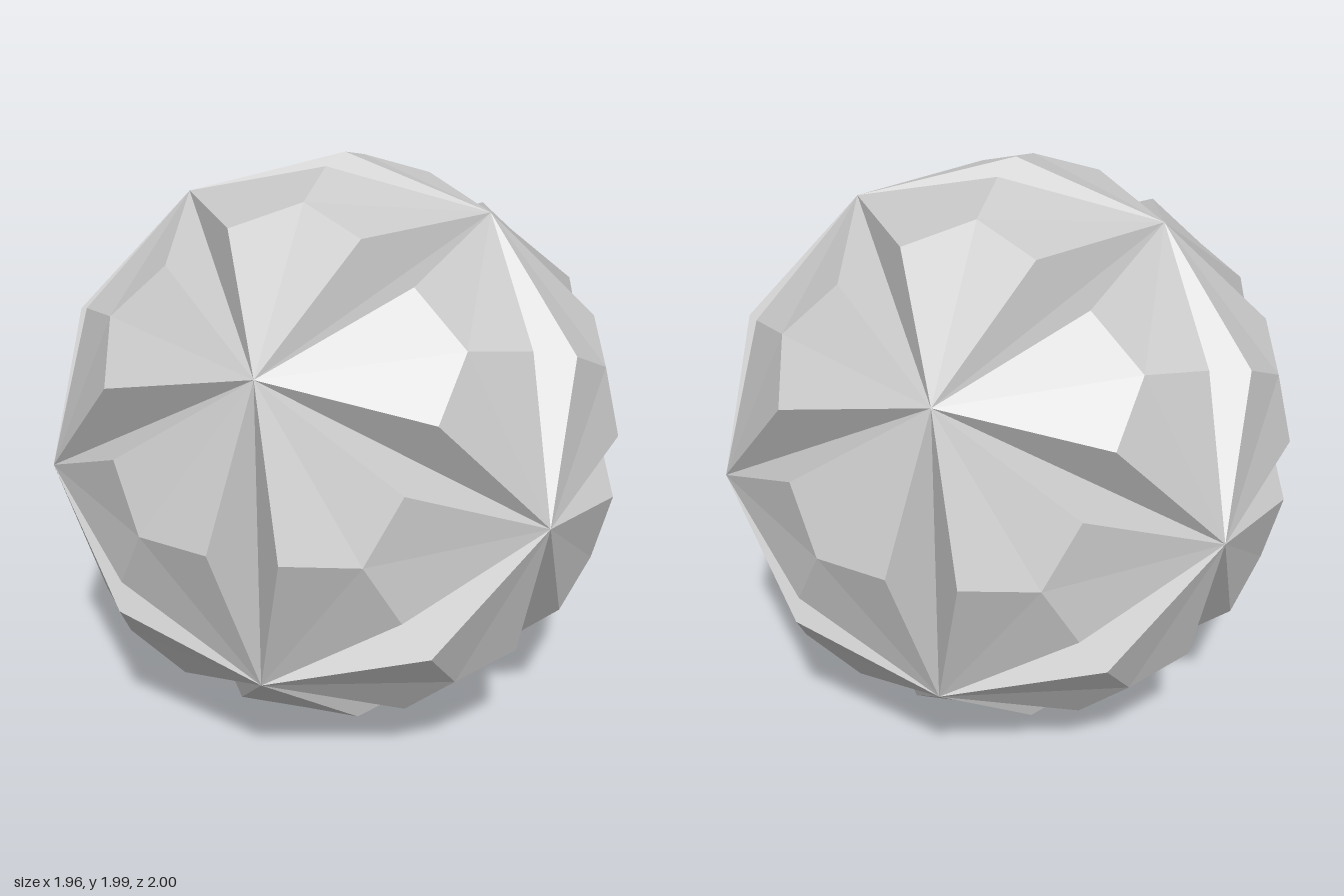
import * as THREE from 'three';

// Unit-sphere icosahedron whose edges are sunken grooves and whose faces bulge out as three kites.
function icosahedronPoints() {
  const h = 1 / Math.sqrt(5), r = 2 * h;
  const points = [new THREE.Vector3(0, 0, 1), new THREE.Vector3(0, 0, -1)];
  for (let i = 0; i < 5; i++) {
    const front = i * Math.PI * 2 / 5, back = front + Math.PI / 5;
    points.push(new THREE.Vector3(r * Math.cos(front), r * Math.sin(front), h));
    points.push(new THREE.Vector3(r * Math.cos(back), r * Math.sin(back), -h));
  }
  return points;
}

// All neighbouring triples, wound to face outwards
function icosahedronFaces(p) {
  const near = (a, b) => p[a].dot(p[b]) > 0.4;
  const faces = [];
  for (let i = 0; i < 12; i++)
    for (let j = i + 1; j < 12; j++)
      for (let k = j + 1; k < 12; k++) {
        if (!near(i, j) || !near(j, k) || !near(i, k)) continue;
        const outward = p[i].dot(p[j].clone().cross(p[k])) > 0;
        faces.push(outward ? [p[i], p[j], p[k]] : [p[i], p[k], p[j]]);
      }
  return faces;
}

// Rim point beside the middle of edge a-b, shifted along the sphere towards the face centre
function rimPoint(a, b, centre) {
  const offset = 0.114;
  const mid = a.clone().add(b).normalize();
  const side = centre.clone().addScaledVector(mid, -centre.dot(mid)).normalize();
  return mid.multiplyScalar(Math.sqrt(1 - offset * offset)).addScaledVector(side, offset);
}

function facetMesh(name, corners) {
  const geometry = new THREE.BufferGeometry().setFromPoints(corners);
  geometry.computeVertexNormals();
  const mesh = new THREE.Mesh(geometry, new THREE.MeshStandardMaterial({ color: 0xcccccc, flatShading: true }));
  mesh.name = name;
  mesh.position.y = 1;
  return mesh;
}

export function createModel() {
  const kites = [], walls = [];
  for (const face of icosahedronFaces(icosahedronPoints())) {
    const centre = face[0].clone().add(face[1]).add(face[2]).normalize();
    const rims = face.map((a, i) => rimPoint(a, face[(i + 1) % 3], centre));
    face.forEach((a, i) => {
      // kite from the corner to the face centre
      kites.push(a, rims[i], centre, a, centre, rims[(i + 2) % 3]);
      // groove wall from the sunken edge up to the rim
      walls.push(a, face[(i + 1) % 3], rims[i]);
    });
  }
  const model = new THREE.Group();
  model.name = 'groovedPolyhedron';
  model.add(facetMesh('kiteFacets', kites), facetMesh('grooveWalls', walls));
  return model;
}
